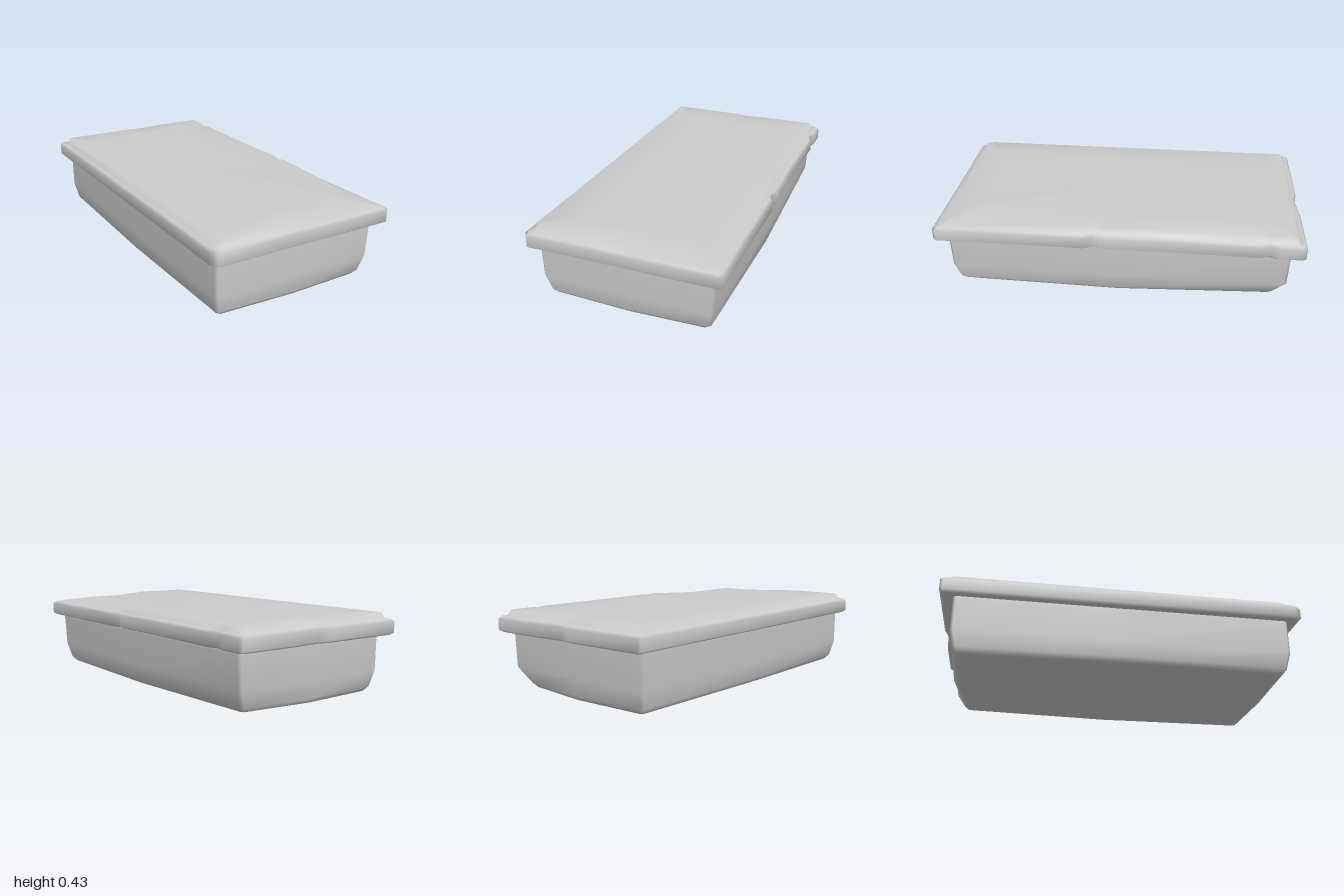
import * as THREE from 'three';

const material = new THREE.MeshStandardMaterial({ color: 0xcccccc });

// Skins a stack of rings (bottom to top), each scaled in from one outline, and caps both ends.
// warp(x, y, z, ring) returns the worn position of a point.
function loft(name, outline, halfX, halfZ, rings, warp) {
  const n = outline.length, pos = [], index = [];
  rings.forEach(([inset, y], r) => {
    for (const [x, z] of outline) {
      pos.push(...warp(x * (1 - inset / halfX), y, z * (1 - inset / halfZ), r));
    }
  });
  for (let r = 0; r < rings.length - 1; r++) {
    for (let i = 0; i < n; i++) {
      const j = (i + 1) % n, a = r * n + i, b = r * n + j;
      index.push(a, b, b + n, a, b + n, a + n);
    }
  }
  const last = (rings.length - 1) * n, low = pos.length / 3;
  pos.push(0, rings[0][1], 0, 0, rings[rings.length - 1][1], 0);
  for (let i = 0; i < n; i++) {
    const j = (i + 1) % n;
    index.push(j, i, low, last + i, last + j, low + 1);
  }
  const geometry = new THREE.BufferGeometry();
  geometry.setAttribute('position', new THREE.Float32BufferAttribute(pos, 3));
  geometry.setIndex(index);
  geometry.computeVertexNormals();
  const mesh = new THREE.Mesh(geometry, material);
  mesh.name = name;
  return mesh;
}

export function createModel() {
  const group = new THREE.Group();
  group.name = 'stoneChest';

  // Chest: nearly straight walls, softened bottom edge, worn lower corners
  const chestOutline = [
    [0.48, 0.915], [0.485, 0], [0.485, -0.915], [0.47, -0.93], [0, -0.93],
    [-0.465, -0.93], [-0.48, -0.915], [-0.48, 0], [-0.48, 0.915], [-0.465, 0.93],
    [0, 0.93], [0.465, 0.93],
  ];
  const chestRings = [[0.08, 0.004], [0.03, 0.004], [0.008, 0.03], [0.002, 0.12], [0, 0.3], [0, 0.33]];
  group.add(loft('chest', chestOutline, 0.48, 0.93, chestRings, (x, y, z, r) => {
    const corner = Math.abs(x) > 0.4 && Math.abs(z) > 0.8;
    const wear = corner && r < 3 ? (x > 0 && z < 0 ? 0.045 : 0.015) : 0;
    const taper = x > 0.4 ? 0.015 * (1 - y / 0.33) : 0;
    return [x - Math.sign(x) * wear - taper, y, z - Math.sign(z) * wear];
  }));

  // Lid: overhanging slab with a bevelled rim and chips along the +x and back edges
  const lidOutline = [
    [0.53, 0.98], [0.527, 0.65], [0.53, 0.18], [0.508, 0.13], [0.526, 0.08],
    [0.522, -0.3], [0.53, -0.76], [0.508, -0.81], [0.53, -0.86], [0.53, -0.985],
    [0.515, -1], [0.2, -1], [0.03, -0.985], [-0.04, -1], [-0.52, -1],
    [-0.53, -0.985], [-0.53, 0], [-0.53, 0.96], [-0.505, 1], [-0.15, 0.997], [0.2, 0.997], [0.515, 0.997],
  ];
  const lidRings = [
    [0.07, 0.315], [0.018, 0.315], [0, 0.327], [0, 0.388],
    [0.012, 0.4], [0.035, 0.405], [0.05, 0.434], [0.2, 0.434],
  ];
  group.add(loft('lid', lidOutline, 0.53, 1, lidRings, (x, y, z, r) => {
    // the front +x corner of the top is worn down
    const worn = r === 6 && x > -0.05 && z > 0.6;
    return [x, worn ? y - 0.025 : y, z];
  }));

  return group;
}
